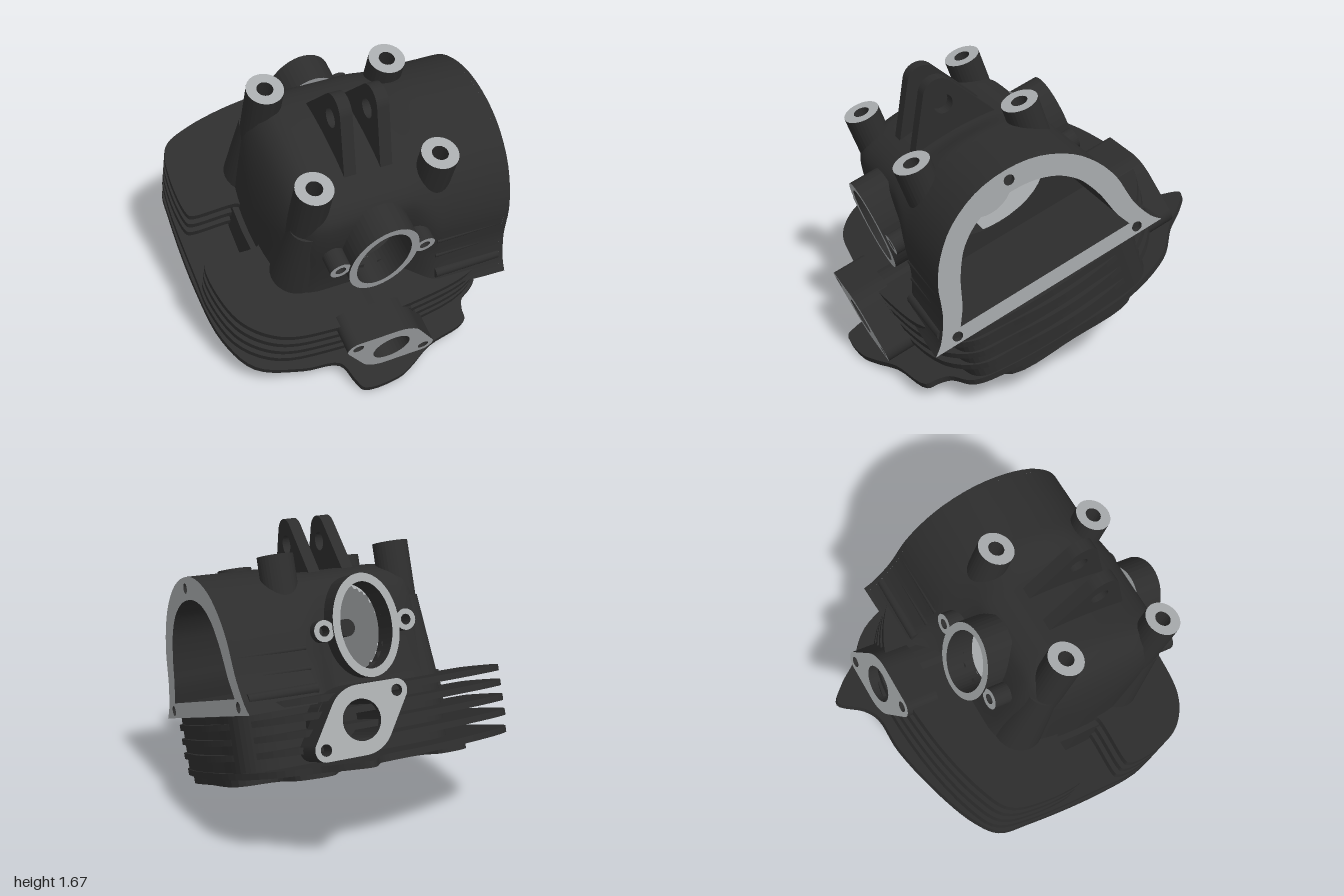
import * as THREE from 'three';

const mat = (name, color, side) => Object.assign(new THREE.MeshStandardMaterial({ color, side }), { name });

export function createModel() {
  const root = new THREE.Group();
  root.name = 'cylinderHead';
  // Everything is built upright, then the head is tilted forward
  const head = new THREE.Group();
  head.name = 'tiltedHead';
  const tilt = THREE.MathUtils.degToRad(20);
  head.rotation.x = tilt;
  head.position.set(0, 0.104 * Math.sin(tilt), -0.104 * Math.cos(tilt));
  root.add(head);

  const dark = mat('blackCasting', 0x2d2d2d, THREE.DoubleSide);
  const metal = mat('machinedMetal', 0xa8abad, THREE.DoubleSide);
  const faced = [metal, dark]; // machined caps, cast sides

  const add = (name, geo, material, parent = head) => {
    const m = new THREE.Mesh(geo, material);
    m.name = name;
    parent.add(m);
    return m;
  };
  const V = (p) => new THREE.Vector2(p[0], p[1]);
  const smooth = (pts, n = 80) => {
    const c = new THREE.CatmullRomCurve3(pts.map((p) => new THREE.Vector3(p[0], p[1], 0)), true, 'centripetal');
    return c.getPoints(n).slice(0, n).map((p) => new THREE.Vector2(p.x, p.y));
  };
  const ellipse = (x, y, rx, ry = rx, n = 32) => Array.from({ length: n }, (_, i) => {
    const a = (i / n) * Math.PI * 2;
    return new THREE.Vector2(x + rx * Math.cos(a), y + ry * Math.sin(a));
  });
  // Convex outline around a set of circles [x, y, radius]
  const hull = (circles, n = 72) => Array.from({ length: n }, (_, i) => {
    const a = (i / n) * Math.PI * 2, dx = Math.cos(a), dy = Math.sin(a);
    const far = (c) => c[0] * dx + c[1] * dy + c[2];
    const c = circles.reduce((b, k) => (far(k) > far(b) ? k : b));
    return new THREE.Vector2(c[0] + c[2] * dx, c[1] + c[2] * dy);
  });
  const extrude = (outline, holes, depth) => {
    const s = new THREE.Shape(outline);
    s.holes = holes.map((h) => new THREE.Path(h));
    return new THREE.ExtrudeGeometry(s, { depth, bevelEnabled: false });
  };
  const layer = (outline, holes, y, t) => extrude(outline, holes, t).rotateX(-Math.PI / 2).translate(0, y, 0);
  const across = (outline, holes, x, t) => extrude(outline, holes, t).rotateY(Math.PI / 2).translate(x, 0, 0);
  const flipZ = (pts) => pts.map(([x, z]) => [x, -z]);

  // Bore and chain tunnel run through the lower layers
  const bore = ellipse(0, 0, 0.26);
  const slot = [[0.53, -0.4], [0.64, -0.4], [0.64, 0.4], [0.53, 0.4]].map(V);

  // Base plate with rear lug and front lip
  const baseOutline = smooth(flipZ([
    [-0.82, -0.4], [-0.79, -0.6], [-0.68, -0.7], [-0.45, -0.8], [-0.1, -0.89], [0.12, -0.9], [0.2, -0.95],
    [0.3, -1.08], [0.4, -1.0], [0.5, -0.87], [0.68, -0.7], [0.8, -0.4], [0.82, 0], [0.8, 0.35], [0.74, 0.58],
    [0.61, 0.67], [0.58, 0.73], [0.56, 0.8], [0.3, 0.87], [0.15, 0.95], [0.05, 0.99], [-0.17, 0.99], [-0.2, 0.93],
    [-0.24, 0.81], [-0.45, 0.77], [-0.7, 0.67], [-0.81, 0.45], [-0.84, 0.1]]), 140);
  add('basePlate', layer(baseOutline, [bore, slot], 0.335, 0.035), dark);

  // Cooling fins, the upper ones notched on the plug side
  const finPoints = [
    [-0.82, -0.45], [-0.77, -0.65], [-0.62, -0.74], [-0.2, -0.84], [0.3, -0.84], [0.62, -0.66], [0.77, -0.45],
    [0.83, -0.2], [0.84, 0.05], [0.81, 0.3], [0.78, 0.5], [0.6, 0.66], [0.2, 0.74], [-0.3, 0.75], [-0.6, 0.7],
    [-0.77, 0.55], [-0.84, 0.3]];
  const fullFin = smooth(flipZ([...finPoints, [-0.84, 0.1]]));
  const notchedFin = smooth(flipZ([...finPoints, [-0.83, 0.15], [-0.8, 0.14], [-0.52, 0.14], [-0.5, 0.12],
    [-0.5, -0.14], [-0.52, -0.16], [-0.79, -0.16], [-0.81, -0.18]]), 180);
  add('coolingFin', layer(fullFin, [bore, slot], 0.435, 0.035), dark);
  [0.52, 0.605].forEach((y) => add('coolingFin', layer(notchedFin, [bore, slot], y, 0.035), dark));
  const topOutline = notchedFin.map((p) => new THREE.Vector2(Math.min(p.x, 0.74), p.y));
  add('topFin', layer(topOutline, [], 0.69, 0.035), dark);

  // Solid core between the fins, with the chain side wall
  const coreOutline = smooth(flipZ([
    [-0.5, -0.4], [-0.35, -0.58], [0.2, -0.6], [0.6, -0.6], [0.76, -0.5], [0.8, -0.2], [0.81, 0.05],
    [0.79, 0.35], [0.74, 0.54], [0.55, 0.6], [0.1, 0.6], [-0.35, 0.58], [-0.5, 0.4]]));
  add('core', layer(coreOutline, [bore, slot], 0.335, 0.345), dark);

  // Gasket face with bolt holes
  const gasketOutline = smooth(flipZ([
    [0.78, -0.38], [0.8, 0], [0.78, 0.38], [0.6, 0.5], [0.54, 0.67], [0.38, 0.73], [0.27, 0.6], [0, 0.57],
    [-0.22, 0.58], [-0.3, 0.71], [-0.46, 0.69], [-0.5, 0.5], [-0.62, 0.36], [-0.59, 0.16], [-0.53, 0],
    [-0.59, -0.16], [-0.62, -0.36], [-0.5, -0.5], [-0.46, -0.69], [-0.3, -0.71], [-0.22, -0.58], [0, -0.57],
    [0.27, -0.6], [0.38, -0.73], [0.54, -0.67], [0.6, -0.5]]), 130);
  const boltHoles = [];
  for (const sz of [-1, 1]) {
    for (const [x, z] of [[0.37, 0.33], [-0.37, 0.33], [0.43, 0.62], [-0.39, 0.62], [-0.54, 0.27]]) {
      boltHoles.push(ellipse(x, z * sz, 0.04, 0.04, 16));
    }
  }
  add('gasketFace', layer(gasketOutline, [bore, slot, ...boltHoles], 0.295, 0.04), faced);

  // Combustion chamber dome with two valves
  add('combustionDome', new THREE.SphereGeometry(0.262, 32, 12, 0, Math.PI * 2, 0, Math.PI / 2)
    .scale(1, 0.85, 1).translate(0, 0.33, 0), dark);
  for (const s of [-1, 1]) {
    const valve = add('valve', new THREE.CylinderGeometry(0.085, 0.085, 0.08, 28), metal);
    valve.position.set(0, 0.45, 0.125 * s);
    valve.rotation.x = 0.4 * s;
  }

  // Cover: lofted from a boxy rocker chamber to the round barrel end
  const barrelHalf = [[0.715, 0.68], [0.66, 0.74], [0.6, 0.86], [0.575, 0.95], [0.545, 1.08], [0.475, 1.22],
    [0.36, 1.35], [0.19, 1.445], [0, 1.475]];
  const boxHalf = [[0.52, 0.68], [0.5, 0.8], [0.49, 0.95], [0.485, 1.1], [0.47, 1.22], [0.44, 1.3],
    [0.36, 1.365], [0.22, 1.405], [0, 1.42]];
  const mouthHalf = [[0.53, 0.77], [0.48, 0.87], [0.455, 0.95], [0.43, 1.03], [0.39, 1.12], [0.34, 1.2],
    [0.25, 1.28], [0.13, 1.33], [0, 1.345]];
  const arch = (half, n = 48) => {
    const pts = [...half, ...half.slice(0, -1).reverse().map(([z, y]) => [-z, y])];
    return new THREE.SplineCurve(pts.map(V)).getPoints(n);
  };
  const box = arch(boxHalf), barrel = arch(barrelHalf), mouth = arch(mouthHalf);

  // Skin through arches; section(x, i) gives [z, y]; the ports are left open
  const loft = (xs, section, ports) => {
    const pos = [], idx = [], n = box.length;
    xs.forEach((x) => box.forEach((_, i) => { const [z, y] = section(x, i); pos.push(x, y, z); }));
    const inPort = (k) => Math.abs(pos[3 * k + 2]) > 0.25 &&
      (pos[3 * k] / 0.19) ** 2 + ((pos[3 * k + 1] - 1.054) / 0.265) ** 2 < 1;
    for (let a = 0; a < xs.length - 1; a++) {
      for (let i = 0; i < n - 1; i++) {
        const p = a * n + i, q = p + n;
        if (ports && [p, q, p + 1, q + 1].every(inPort)) continue;
        idx.push(p, p + 1, q, p + 1, q + 1, q);
      }
    }
    const g = new THREE.BufferGeometry();
    g.setAttribute('position', new THREE.Float32BufferAttribute(pos, 3));
    g.setIndex(idx);
    g.computeVertexNormals();
    return g;
  };
  const steps = (a, b, n) => Array.from({ length: n + 1 }, (_, i) => a + ((b - a) * i) / n);
  const coverSection = (x, i) => {
    const m = THREE.MathUtils.smoothstep(x, 0.16, 0.38) * 0.9 + THREE.MathUtils.smoothstep(x, 0.38, 0.78) * 0.1;
    const k = x < -0.24 ? Math.sqrt(Math.max(0, 1 - ((-0.24 - x) / 0.27) ** 4)) : 1;
    const p = box[i].clone().lerp(barrel[i], m);
    return [p.x * k, 0.68 + (p.y - 0.68) * (0.25 + 0.75 * k)];
  };
  const coverXs = [-0.51, -0.508, -0.5, -0.485, -0.46, -0.42, -0.36, -0.3, ...steps(-0.24, 0.42, 33), 0.55, 0.66, 0.78];
  add('cover', loft(coverXs, coverSection, true), dark);

  // Barrel mouth: machined rim, dark pocket and pierced inner wall
  const rimHoles = [[0, 1.412], [0.565, 0.724], [-0.565, 0.724]].map(([z, y]) => ellipse(z, y, 0.03, 0.03, 18));
  add('barrelRim', across(barrel, [mouth, ...rimHoles], 0.755, 0.028), faced);
  add('rimHoleBacking', new THREE.BoxGeometry(0.01, 0.07, 1.25).translate(0.75, 0.724, 0), dark);
  add('barrelPocket', loft([0.3, 0.54, 0.78], (x, i) => [mouth[i].x, mouth[i].y]), dark);
  add('barrelFloor', new THREE.BoxGeometry(0.47, 0.02, 1.06).translate(0.535, 0.76, 0), dark);
  add('barrelInnerWall', across(mouth, [ellipse(0, 1.057, 0.345, 0.2)], 0.29, 0.01), dark);

  // Rocker chamber lining, bearing and shaft
  const lining = box.map((p) => new THREE.Vector2(p.x * 0.88, 0.92 + (p.y - 0.92) * 0.86));
  add('chamberLining', loft(steps(-0.22, 0.28, 25), (x, i) => [lining[i].x, lining[i].y], true), metal);
  add('chamberEndWall', across(lining, [], -0.225, 0.005), metal);
  add('chamberFloor', new THREE.BoxGeometry(0.5, 0.02, 0.5).translate(0.03, 0.78, -0.17), metal);
  add('chamberSill', new THREE.BoxGeometry(0.5, 0.02, 0.36).translate(0.03, 0.78, 0.26), dark);
  add('bearing', across(ellipse(0, 1.057, 0.19), [ellipse(0, 1.057, 0.12)], 0.1, 0.1), metal);
  add('bearingCup', new THREE.SphereGeometry(0.121, 24, 12, -Math.PI / 2, Math.PI)
    .scale(0.4, 1, 1).translate(0.19, 1.057, 0), metal);
  add('rockerShaft', new THREE.CylinderGeometry(0.05, 0.05, 0.74, 20).rotateX(Math.PI / 2).translate(0, 1.057, 0), dark);

  // Bolt pillars, the outer pair with a cast foot
  for (const x of [-0.37, 0.35]) {
    for (const z of [-0.33, 0.33]) {
      const y = x < 0 ? 0.7 : 1.17;
      add('boltPillar', layer(ellipse(x, -z, 0.102), [ellipse(x, -z, 0.045, 0.045, 20)], y, 1.51 - y), faced);
      if (x < 0) add('pillarFoot', new THREE.CylinderGeometry(0.1, 0.15, 0.5, 28).translate(x, 0.94, z * 1.06), dark);
    }
  }

  // Mounting tabs
  const tabOutline = hull([[0, 1.645, 0.097], [-0.24, 1.36, 0.03], [0.24, 1.36, 0.03]]);
  for (const x of [-0.115, 0.095]) {
    add('mountingTab', across(tabOutline, [ellipse(0, 1.592, 0.055)], x - 0.035, 0.07), dark);
  }

  // Inspection port and duct flange, one set on the front and one on the back
  for (const [name, turn, fx, lean] of [['front', 0, 0, 1], ['back', Math.PI, -0.24, -1]]) {
    const side = new THREE.Group();
    side.name = name + 'Ports';
    side.rotation.y = turn;
    head.add(side);
    const px = -0.01 * lean;
    add('inspectionPort', extrude(ellipse(px, 1.054, 0.2, 0.287, 48), [ellipse(px, 1.054, 0.155, 0.24, 48)], 0.17)
      .translate(0, 0, 0.432), faced, side);
    for (const s of [-1, 1]) {
      const ex = s * 0.25 + px;
      add('portEar', extrude(ellipse(ex, 1.054, 0.06), [ellipse(ex, 1.054, 0.03, 0.03, 18)], 0.17)
        .translate(0, 0, 0.42), faced, side);
    }
    const tip = [-0.225 * lean, 0.122];
    const flange = hull([[0, 0, 0.185], [...tip, 0.062], [-tip[0], -tip[1], 0.062]]);
    const holes = [ellipse(0, 0, 0.11), ellipse(...tip, 0.032, 0.032, 18), ellipse(-tip[0], -tip[1], 0.032, 0.032, 18)];
    add('ductFlange', extrude(flange, holes, 0.2).translate(fx, 0.568, 0.69), faced, side);
    add('duct', extrude(ellipse(fx, 0.568, 0.2, 0.17), [ellipse(fx, 0.568, 0.11)], 0.25).translate(0, 0, 0.5), dark, side);
    // Cast ribs along the barrel
    for (const [y, z, r] of [[0.76, 0.63, 0.03], [0.87, 0.58, 0.014], [0.98, 0.555, 0.014]]) {
      add('barrelRib', new THREE.CylinderGeometry(r, r, 0.4, 10).rotateZ(Math.PI / 2).translate(0.55 * lean, y, z), dark, side);
    }
  }
  return root;
}
